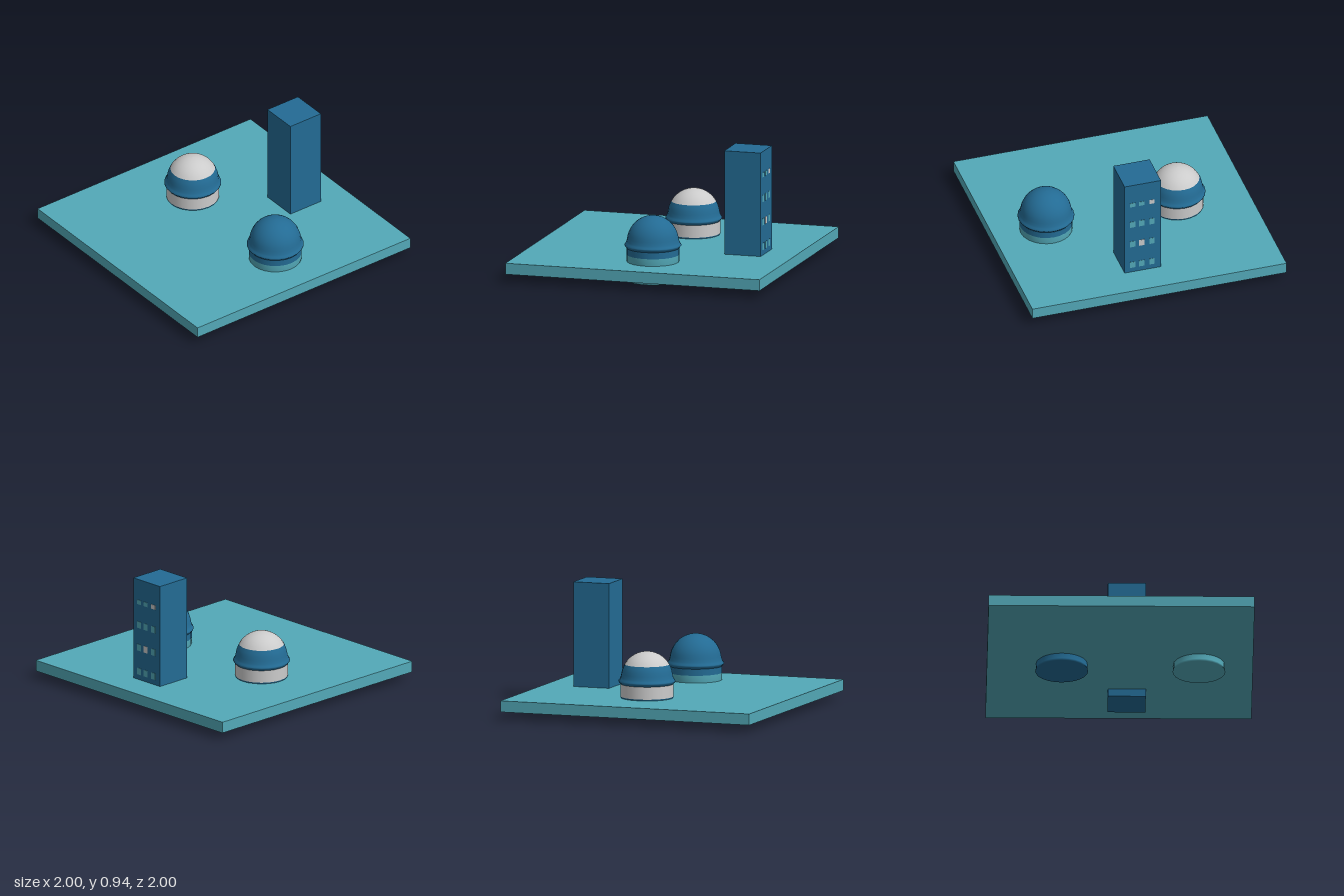
import * as THREE from 'three';

const TEAL = 0x53a9b8;
const BLUE = 0x236b94;
const GREY = 0xcccccc;

const material = (color) => new THREE.MeshStandardMaterial({ color, side: THREE.DoubleSide });

function box(name, size, position, color) {
  const mesh = new THREE.Mesh(new THREE.BoxGeometry(...size), material(color));
  mesh.name = name;
  mesh.position.set(...position);
  return mesh;
}

// Radius and height up the drum, over the rim and onto the foot of the dome
const profile = [
  [0, 0], [0.199, 0], [0.194, 0.02], [0.193, 0.06], [0.193, 0.13], [0.2, 0.155],
  [0.2, 0.2], [0.2, 0.25], [0.205, 0.257], [0.214, 0.267], [0.214, 0.275],
  [0.206, 0.285], [0.199, 0.3],
];
// Hemisphere above the rim
const domeBase = 0.3, domeRadius = 0.195;
for (let i = 1; i <= 12; i++) {
  const a = (i / 12) * Math.PI / 2;
  profile.push([Math.max(0, domeRadius * Math.cos(a)), domeBase + domeRadius * Math.sin(a)]);
}

// Domed building, split into coloured bands: [name, first point, last point, color]
function domedBuilding(name, x, bands) {
  const group = new THREE.Group();
  group.name = name;
  group.position.set(x, 0, -0.035);
  for (const [part, from, to, color] of bands) {
    const points = profile.slice(from, to + 1).map(([r, y]) => new THREE.Vector2(r, y));
    const mesh = new THREE.Mesh(new THREE.LatheGeometry(points, 24), material(color));
    mesh.name = part;
    group.add(mesh);
  }
  return group;
}

export function createModel() {
  const model = new THREE.Group();
  model.name = 'buildingsOnPlate';

  // Square ground plate, which the buildings pass through
  model.add(box('groundPlate', [2, 0.085, 2], [0, 0.1025, 0], TEAL));

  // Tower with windows on its back
  const tower = new THREE.Group();
  tower.name = 'tower';
  tower.add(box('towerBlock', [0.286, 0.94, 0.286], [0.057, 0.47, -0.617], BLUE));
  const heights = [0.76, 0.58, 0.4, 0.21];
  const columns = [0.136, 0.066, -0.015];
  heights.forEach((y, row) => columns.forEach((x, col) => {
    const lit = (row === 0 && col === 2) || (row === 2 && col === 1);
    const h = row === 0 ? 0.035 : 0.052;
    tower.add(box('window', [0.042, h, 0.004], [x, y, -0.76], lit ? GREY : TEAL));
  }));
  model.add(tower);

  // Two domed buildings with different banding
  const last = profile.length - 1;
  model.add(domedBuilding('bandedDome', -0.438, [
    ['base', 0, 5, BLUE], ['wall', 5, 7, GREY], ['rim', 7, 16, BLUE], ['cap', 16, last, GREY],
  ]));
  model.add(domedBuilding('plainDome', 0.594, [
    ['base', 0, 6, TEAL], ['wall', 6, 7, BLUE], ['dome', 7, last, BLUE],
  ]));

  return model;
}
